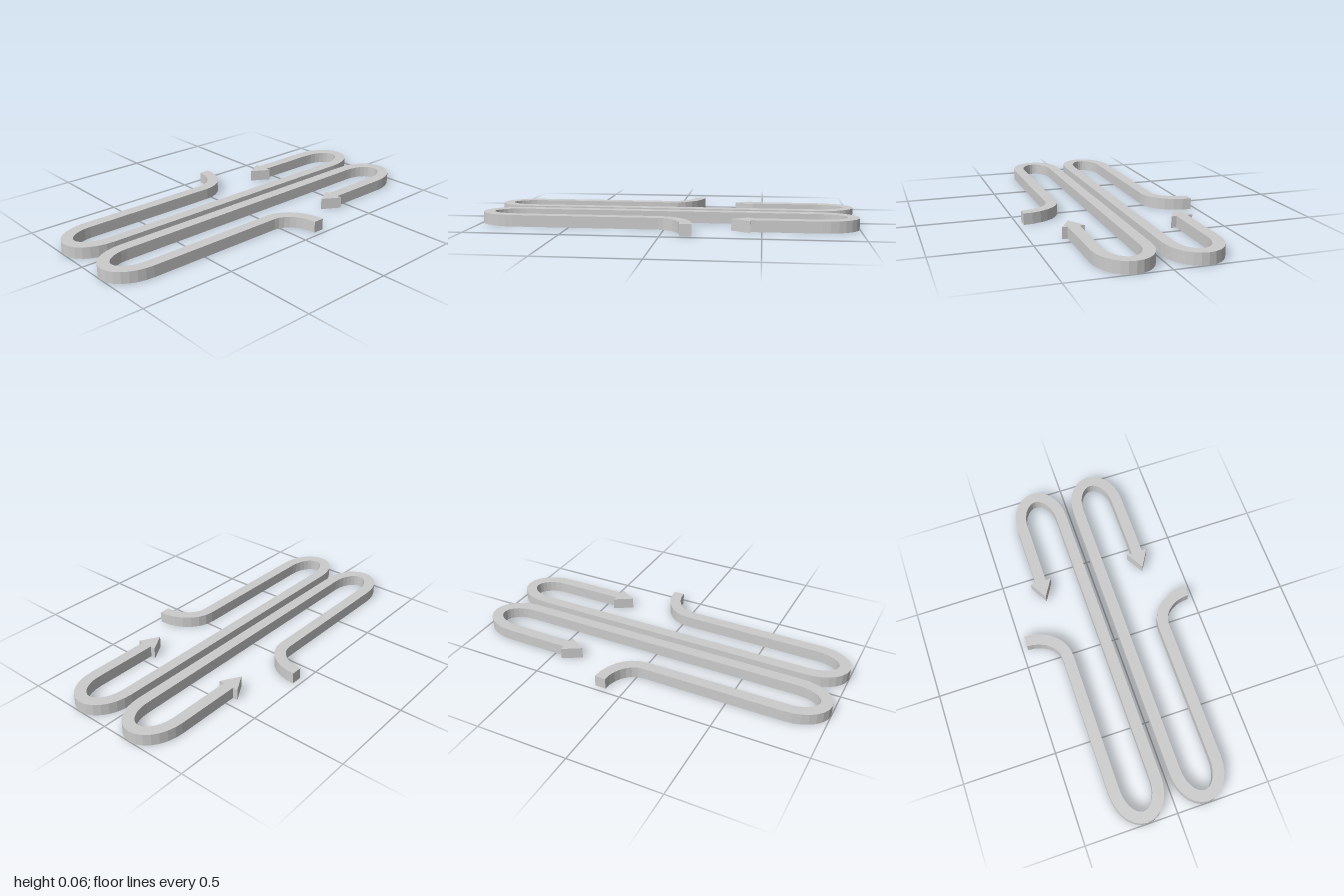
import * as THREE from 'three';

const HEIGHT = 0.061;
const HALF = 0.03; // half the width of the ribbon

// Centreline of one lane in plan (x, z), from the hooked end to the arrow
function laneCurves() {
  const line = (x1, z1, x2, z2) =>
    new THREE.LineCurve(new THREE.Vector2(x1, z1), new THREE.Vector2(x2, z2));
  const Q = Math.PI / 2;
  return [
    [new THREE.EllipseCurve(-0.03, 0.47, 0.158, 0.193, 0, -Q, true), 7], // hook
    [line(-0.03, 0.277, -0.8, 0.277), 1],
    [new THREE.EllipseCurve(-0.8, 0.165, 0.17, 0.112, Q, 3 * Q, false), 14], // left U-bend
    [line(-0.8, 0.053, 0.8, 0.053), 1],
    [new THREE.EllipseCurve(0.8, 0.17, 0.17, 0.117, -Q, Q, false), 14], // right U-bend
    [line(0.8, 0.287, 0.444, 0.287), 1],
  ];
}

// Offset the centreline to both sides to get the ribbon's outline
function ribbonOutline() {
  const left = [], right = [];
  laneCurves().forEach(([curve, steps], c) => {
    for (let i = c ? 1 : 0; i <= steps; i++) {
      const p = curve.getPoint(i / steps);
      const t = curve.getTangent(i / steps);
      const n = new THREE.Vector2(-t.y, t.x).multiplyScalar(HALF);
      left.push(p.clone().add(n));
      right.push(p.clone().sub(n));
    }
  });
  return left.concat(right.reverse());
}

const arrowOutline = () => [[0.345, 0.287], [0.444, 0.229], [0.444, 0.345]]
  .map(([x, z]) => new THREE.Vector2(x, z));

// Extrude a plan outline upwards; side = -1 mirrors it to the back
function slab(name, outline, side, material) {
  const shape = new THREE.Shape(outline.map(p => new THREE.Vector2(p.x, p.y * side)));
  const geometry = new THREE.ExtrudeGeometry(shape, { depth: HEIGHT, bevelEnabled: false });
  geometry.rotateX(Math.PI / 2).translate(0, HEIGHT, 0);
  const mesh = new THREE.Mesh(geometry, material);
  mesh.name = name;
  return mesh;
}

export function createModel() {
  const model = new THREE.Group();
  model.name = 'arrowLanes';
  const material = new THREE.MeshStandardMaterial({ color: 0xcccccc, flatShading: true });

  // Two mirrored lanes, front and back
  for (const [name, side] of [['frontLane', 1], ['backLane', -1]]) {
    const lane = new THREE.Group();
    lane.name = name;
    lane.add(
      slab('ribbon', ribbonOutline(), side, material),
      slab('arrowHead', arrowOutline(), side, material),
    );
    model.add(lane);
  }
  return model;
}
